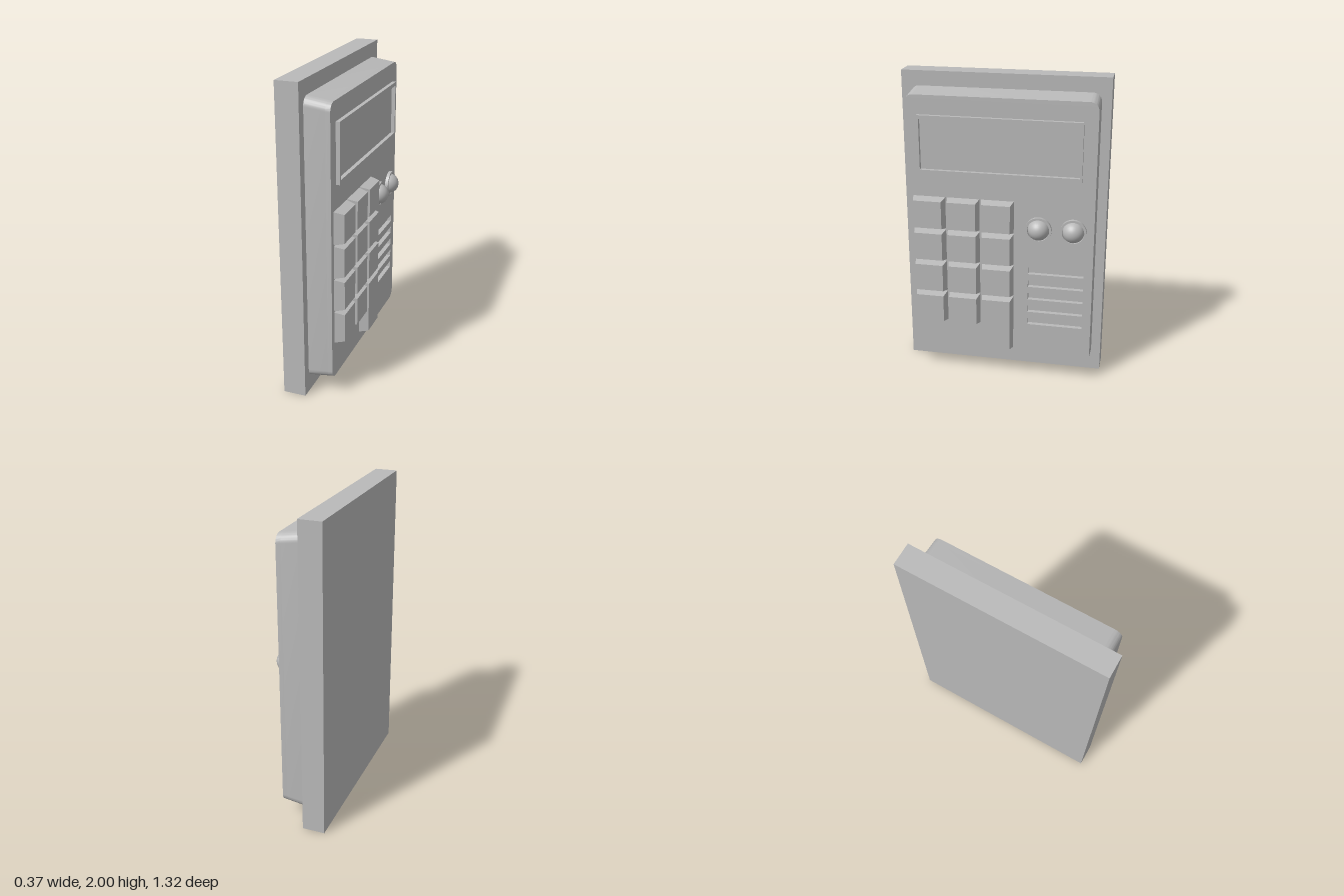
import * as THREE from 'three';
import { toCreasedNormals } from 'three/addons/utils/BufferGeometryUtils.js';

export function createModel() {
  const root = new THREE.Group();
  root.name = 'keypadPanel';
  const grey = new THREE.MeshStandardMaterial({ color: 0xb9b9b9 });
  grey.name = 'plain grey';

  // Built facing +z, then turned so the face points to +x.
  const panel = new THREE.Group();
  panel.name = 'panel';
  panel.rotation.y = Math.PI / 2;
  root.add(panel);

  const add = (name, geometry, x = 0, y = 0, z = 0) => {
    const mesh = new THREE.Mesh(geometry, grey);
    mesh.name = name;
    mesh.position.set(x, y, z);
    panel.add(mesh);
    return mesh;
  };
  const rect = (target, x0, y0, x1, y1) => {
    target.moveTo(x0, y0);
    target.lineTo(x1, y0);
    target.lineTo(x1, y1);
    target.lineTo(x0, y1);
    target.closePath();
    return target;
  };
  const extrude = (shape, depth, curveSegments = 6) =>
    new THREE.ExtrudeGeometry(shape, { depth, bevelEnabled: false, curveSegments });

  // Wall plate
  add('backPlate', new THREE.BoxGeometry(1.32, 2, 0.145), 0, 1, -0.1175);

  // Rounded housing, its top and bottom leaning inwards to the front
  const housingShape = () => {
    const s = new THREE.Shape(), w = 0.6, y0 = 0.1, y1 = 1.905, r = 0.055;
    s.moveTo(-w + r, y0);
    s.lineTo(w - r, y0);
    s.absarc(w - r, y0 + r, r, -Math.PI / 2, 0);
    s.lineTo(w, y1 - r);
    s.absarc(w - r, y1 - r, r, 0, Math.PI / 2);
    s.lineTo(-w + r, y1);
    s.absarc(-w + r, y1 - r, r, Math.PI / 2, Math.PI);
    s.lineTo(-w, y0 + r);
    s.absarc(-w + r, y0 + r, r, Math.PI, Math.PI * 1.5);
    return s;
  };
  const BACK = -0.045, FACE = 0.115, SLOT = 0.03;
  const housingLayer = (shape, z, depth) => {
    const g = extrude(shape, depth).translate(0, 0, z);
    const p = g.attributes.position;
    for (let i = 0; i < p.count; i++) {
      const y = p.getY(i), lean = 0.023 * (p.getZ(i) - BACK) / (FACE - BACK);
      if (y > 1.8) p.setY(i, y - lean);
      if (y < 0.2) p.setY(i, y + lean);
    }
    return toCreasedNormals(g, 0.6);
  };
  add('housing', housingLayer(housingShape(), BACK, FACE - SLOT - BACK));

  // Front layer pierced by the speaker slots
  const front = housingShape();
  for (let i = 0; i < 5; i++) {
    const y = 0.765 - i * 0.0905;
    front.holes.push(rect(new THREE.Path(), 0.185, y - 0.023, 0.543, y + 0.023));
  }
  add('speakerFront', housingLayer(front, FACE - SLOT, SLOT));

  // Raised frame around the display
  const frame = rect(new THREE.Shape(), -0.52, 1.385, 0.515, 1.76);
  frame.holes.push(rect(new THREE.Path(), -0.505, 1.412, 0.5, 1.735));
  add('displayFrame', extrude(frame, 0.025), 0, 0, FACE);

  // Keys taper towards the front; each is given by its centre and half sizes
  const addKey = (x, y, halfW, halfH) => {
    const g = new THREE.BoxGeometry(2, 2, 0.063);
    const p = g.attributes.position;
    for (let i = 0; i < p.count; i++) {
      const inset = p.getZ(i) > 0 ? 0.014 : 0;
      p.setX(i, Math.sign(p.getX(i)) * (halfW - inset));
      p.setY(i, Math.sign(p.getY(i)) * (halfH - inset));
    }
    const flat = g.toNonIndexed();
    flat.computeVertexNormals();
    add('key', flat, x, y, FACE + 0.0315);
  };
  for (let row = 0; row < 4; row++) {
    for (let col = 0; col < 3; col++) {
      const x = -0.457 + col * 0.2215, y = 1.126 - row * 0.219;
      if (row === 3 && col === 2) addKey(x, 0.386, 0.105, 0.188);
      else addKey(x, y, 0.105, 0.105);
    }
  }

  // Two domed lamps in collars
  for (const x of [0.25, 0.47]) {
    const ring = new THREE.Shape().absarc(0, 0, 0.084, 0, Math.PI * 2);
    ring.holes.push(new THREE.Path().absarc(0, 0, 0.07, 0, Math.PI * 2));
    add('lampCollar', toCreasedNormals(extrude(ring, 0.021, 16), 0.6), x, 1.055, FACE);
    const dome = new THREE.SphereGeometry(0.069, 24, 8, 0, Math.PI * 2, 0, Math.PI / 2);
    add('lampDome', dome.rotateX(Math.PI / 2), x, 1.055, FACE);
  }

  return root;
}
